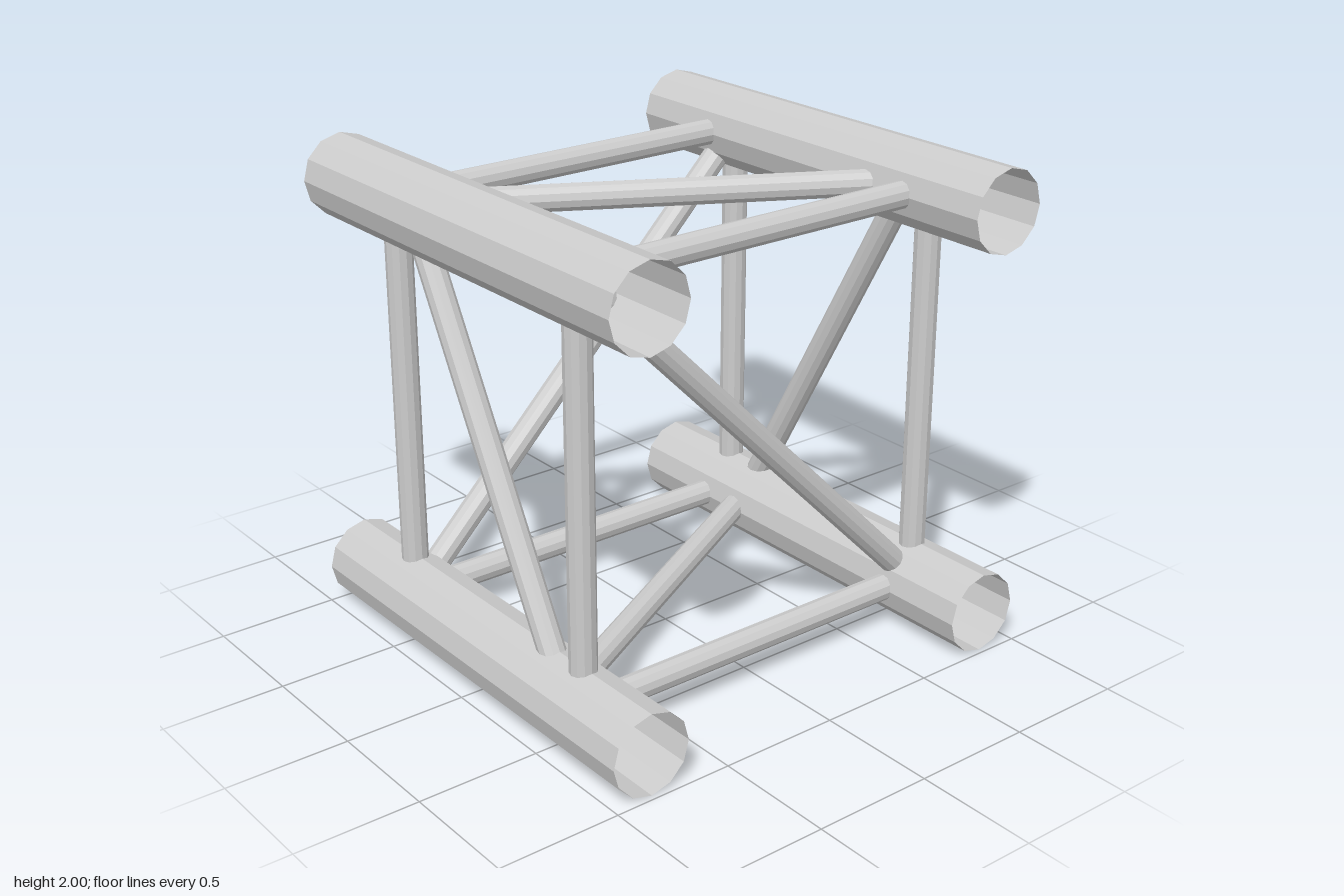
import * as THREE from 'three';

const CHORD_RADIUS = 0.167;
const STRUT_RADIUS = 0.054;
const HALF_LENGTH = 0.978;
const C = 0.833;        // chord axis offset from the truss centre
const STRUT_X = 0.575;  // position of the square frames
const DIAG_X = 0.46;    // reach of the face diagonals

export function createModel() {
  const aluminium = new THREE.MeshStandardMaterial({ color: 0xcccccc, flatShading: true, side: THREE.DoubleSide });
  aluminium.name = 'aluminium';

  const model = new THREE.Group();
  model.name = 'boxTruss';
  const truss = new THREE.Group();
  truss.name = 'truss';
  truss.position.y = 1;
  model.add(truss);

  // Open twelve-sided tube between two points
  function tube(name, a, b, radius) {
    const start = new THREE.Vector3(...a);
    const end = new THREE.Vector3(...b);
    const dir = end.clone().sub(start);
    const geometry = new THREE.CylinderGeometry(radius, radius, dir.length(), 12, 1, true);
    const mesh = new THREE.Mesh(geometry, aluminium);
    mesh.name = name;
    mesh.position.copy(start).add(end).multiplyScalar(0.5);
    mesh.quaternion.setFromUnitVectors(new THREE.Vector3(0, 1, 0), dir.normalize());
    truss.add(mesh);
  }

  // Main chords along x
  for (const y of [-C, C]) {
    for (const z of [-C, C]) {
      tube('chord', [-HALF_LENGTH, y, z], [HALF_LENGTH, y, z], CHORD_RADIUS);
    }
  }

  for (const s of [-1, 1]) {
    // Square frame of struts with one cross brace
    const x = s * STRUT_X;
    for (const t of [-C, C]) {
      tube('verticalStrut', [x, -C, t], [x, C, t], STRUT_RADIUS);
      tube('horizontalStrut', [x, t, -C], [x, t, C], STRUT_RADIUS);
    }
    tube('frameBrace', [x, s * C, C], [x, -s * C, -C], STRUT_RADIUS);

    // Diagonals of the front/back and top/bottom faces
    tube('sideDiagonal', [-s * DIAG_X, C, s * C], [s * DIAG_X, -C, s * C], STRUT_RADIUS);
    tube('levelDiagonal', [-s * DIAG_X, s * C, C], [s * DIAG_X, s * C, -C], STRUT_RADIUS);
  }

  return model;
}
